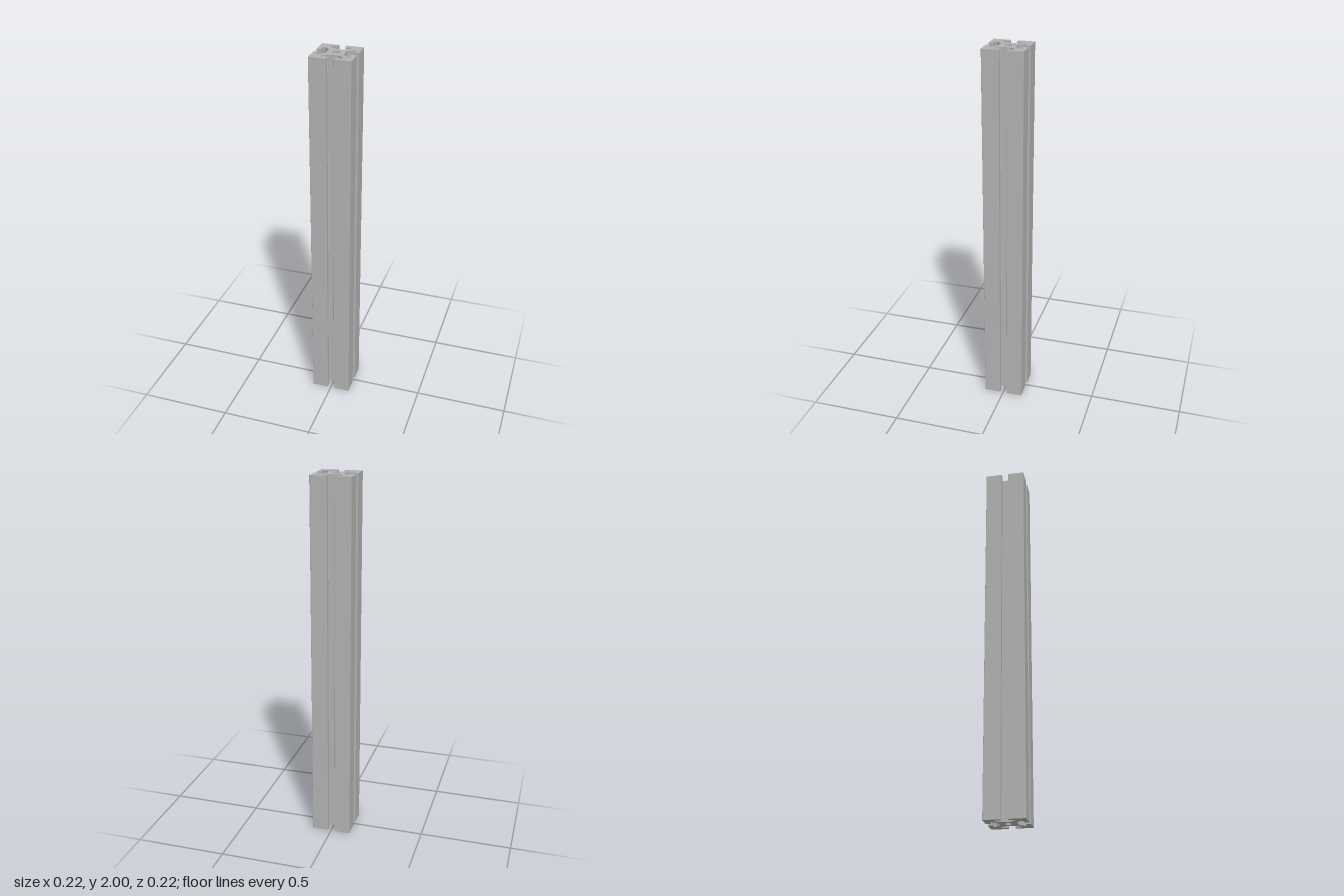
import * as THREE from 'three';

const LENGTH = 2;
const HALF = 0.108;
const BORE = 0.019;

// Half of one T-slot, from the outer corner to the core: [x, y, fillet]
const HALF_SLOT = [
  [0.0185, HALF, 0.003],
  [0.0185, 0.083, 0.003],
  [0.0555, 0.083, 0.004],
  [0.0555, 0.074, 0.004],
  [0.0275, 0.046, 0],
];

// Full outline: corner, slot half and its mirror, turned to all four sides
function outlinePoints() {
  const mirrored = HALF_SLOT.map(([x, y, r]) => [-x, y, r]).reverse();
  const side = [[HALF, HALF, 0.003], ...HALF_SLOT, ...mirrored];
  const points = [];
  for (let i = 0; i < 4; i++) {
    for (const [x, y, r] of side) {
      const p = new THREE.Vector2(x, y).rotateAround(new THREE.Vector2(), i * Math.PI / 2);
      points.push({ p, r });
    }
  }
  return points;
}

// Closed shape whose corners are rounded by their own fillet size
function filletedShape(points) {
  const shape = new THREE.Shape();
  const n = points.length;
  points.forEach(({ p, r }, i) => {
    const toward = (q) => p.clone().add(q.clone().sub(p).setLength(r));
    const a = r ? toward(points[(i + n - 1) % n].p) : p;
    const b = r ? toward(points[(i + 1) % n].p) : p;
    if (i === 0) shape.moveTo(a.x, a.y);
    else shape.lineTo(a.x, a.y);
    if (r) shape.quadraticCurveTo(p.x, p.y, b.x, b.y);
  });
  shape.closePath();
  return shape;
}

export function createModel() {
  const group = new THREE.Group();
  group.name = 'slottedProfile';

  const aluminium = new THREE.MeshStandardMaterial({ color: 0xb2b2b2 });
  aluminium.name = 'aluminium grey';

  // Slotted bar with a centre bore
  const section = filletedShape(outlinePoints());
  const bore = new THREE.Path();
  bore.absarc(0, 0, BORE, 0, Math.PI * 2, true);
  section.holes.push(bore);

  const geometry = new THREE.ExtrudeGeometry(section, {
    depth: LENGTH,
    bevelEnabled: false,
    curveSegments: 12,
  });
  geometry.rotateX(-Math.PI / 2);

  const bar = new THREE.Mesh(geometry, aluminium);
  bar.name = 'slottedBar';
  group.add(bar);
  return group;
}
